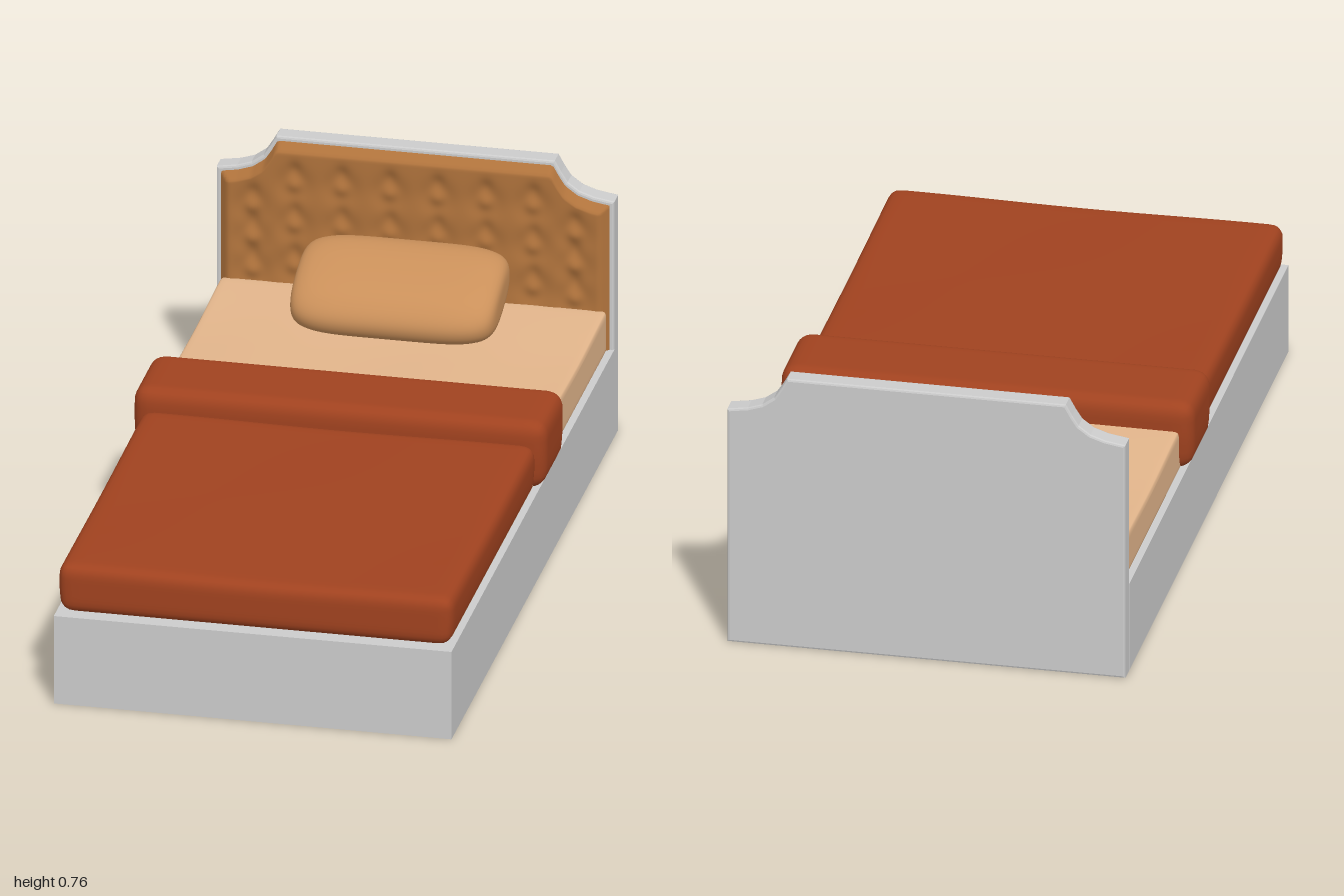
import * as THREE from 'three';
import { mergeVertices } from 'three/addons/utils/BufferGeometryUtils.js';

const { clamp, lerp } = THREE.MathUtils;
const mat = (color) => new THREE.MeshStandardMaterial({ color });
const frameMat = mat(0xcccccc);
const duvetMat = mat(0xa0421f);
const sheetMat = mat(0xe2b58b);
const pillowMat = mat(0xca905a);
const padMat = mat(0xb0733c);

function part(name, geometry, material, x = 0, y = 0, z = 0) {
  const mesh = new THREE.Mesh(geometry, material);
  mesh.name = name;
  mesh.position.set(x, y, z);
  return mesh;
}

// Weld the vertices and recompute smooth normals
function smooth(geometry) {
  geometry.deleteAttribute('uv');
  geometry.deleteAttribute('normal');
  const welded = mergeVertices(geometry, 1e-5);
  welded.computeVertexNormals();
  return welded;
}

// Apply a rule to every vertex
function reshape(geometry, rule) {
  const pos = geometry.attributes.position;
  const p = new THREE.Vector3();
  for (let i = 0; i < pos.count; i++) {
    rule(p.fromBufferAttribute(pos, i));
    pos.setXYZ(i, p.x, p.y, p.z);
  }
  return geometry;
}

// Rounded box with points crowded to its edges, plus an optional extra rule
function softBox(w, h, d, r, rule = () => {}) {
  const half = new THREE.Vector3(w, h, d).multiplyScalar(0.5);
  const inner = half.clone().subScalar(r);
  const core = new THREE.Vector3();
  const geo = new THREE.BoxGeometry(2, 2, 2, 32, 14, 32);
  return smooth(reshape(geo, (p) => {
    for (const a of ['x', 'y', 'z']) {
      p[a] = Math.sin(p[a] * Math.PI / 2) * half[a];
      core[a] = clamp(p[a], -inner[a], inner[a]);
    }
    p.sub(core).setLength(r).add(core);
    rule(p);
  }));
}

// Half of the headboard's top edge, from the middle outwards
const EDGE = [[0, 0.765], [0.37, 0.765], [0.385, 0.738], [0.403, 0.71], [0.436, 0.686], [0.475, 0.673], [0.525, 0.665]];

function edgeHeight(x) {
  const i = Math.max(1, EDGE.findIndex(([ex]) => ex >= x));
  const [x0, y0] = EDGE[i - 1], [x1, y1] = EDGE[i];
  return lerp(y0, y1, (x - x0) / (x1 - x0));
}

function headboardGeometry() {
  const b = 0.006;
  const right = EDGE.slice(1).reverse().map(([x, y]) => [x - b, y - b]);
  const left = EDGE.slice(1).map(([x, y]) => [b - x, y - b]);
  const outline = [[b - 0.525, b], [0.525 - b, b], ...right, ...left];
  const shape = new THREE.Shape(outline.map(([x, y]) => new THREE.Vector2(x, y)));
  return new THREE.ExtrudeGeometry(shape, {
    depth: 0.055 - 2 * b, bevelSize: b, bevelThickness: b, bevelSegments: 2,
  }).translate(0, 0, b);
}

// Button positions on the upholstered panel
const BUTTONS = [];
for (const s of [-1, 1]) {
  for (const x of [0.063, 0.19, 0.315]) for (const y of [0.64, 0.525, 0.41]) BUTTONS.push([s * x, y]);
  for (const y of [0.57, 0.48, 0.39]) BUTTONS.push([s * 0.425, y]);
}

// Dimple around each button, the button's swell, and a pleat above it
function tuft(x, y) {
  let h = 0;
  for (const [bx, by] of BUTTONS) {
    const dx = x - bx, dy = y - by;
    const d2 = dx * dx + dy * dy;
    h -= 0.017 * Math.exp(-d2 / 0.0016);
    h += 0.015 * Math.exp(-d2 / 0.0005);
    h -= 0.007 * Math.exp(-((dx / 0.018) ** 2) - ((dy - 0.045) / 0.022) ** 2);
  }
  return Math.max(h, -0.018);
}

function padGeometry() {
  const width = 1.03, bottom = 0.24;
  const geo = new THREE.PlaneGeometry(width, 1, 144, 90);
  return smooth(reshape(geo, (p) => {
    const ax = Math.abs(p.x);
    const top = edgeHeight(Math.min(0.525, ax + 0.007)) - 0.01;
    p.y = lerp(bottom, top, p.y + 0.5);
    const bevel = clamp(Math.min(width / 2 - ax, top - p.y) / 0.024, 0, 1);
    p.z = lerp(-0.947, -0.92 + tuft(p.x, p.y), bevel);
  }));
}

// Pillow: superellipse in plan, plump oval in section
function pillowGeometry() {
  const geo = new THREE.BoxGeometry(2, 2, 2, 32, 18, 28);
  return smooth(reshape(geo, (p) => {
    const oval = (Math.abs(p.y) ** 2.2 + Math.abs(p.z) ** 2.5) ** (1 / 2.3);
    const k = (Math.abs(p.x) ** 5 + oval ** 5) ** (-1 / 5);
    p.multiplyScalar(k);
    p.set(p.x * 0.272, p.y * 0.073, p.z * 0.168);
  }));
}

export function createModel() {
  const bed = new THREE.Group();
  bed.name = 'bed';

  // Frame
  bed.add(part('bedBase', new THREE.BoxGeometry(1.05, 0.247, 1.95), frameMat, 0, 0.1235, 0.025));
  bed.add(part('headboard', headboardGeometry(), frameMat, 0, 0, -1));
  bed.add(part('headboardPadding', padGeometry(), padMat));

  // Mattress with a gentle sag in its top
  const mattress = softBox(1.02, 0.118, 1.86, 0.012, (p) => {
    if (p.y > 0.04) p.y -= 0.008 * Math.exp(-(((p.z + 0.6) / 0.22) ** 2)) * (0.7 + 0.3 * Math.cos(p.x * 12));
  });
  bed.add(part('mattress', mattress, sheetMat, 0, 0.306, 0));

  // Duvet and its turned-back fold, drawn in slightly at the bottom
  const duvet = softBox(1.042, 0.133, 1.02, 0.034, (p) => {
    if (p.y > 0) p.y += 0.002 * Math.cos(p.x * 7) * Math.cos(p.z * 6);
    else p.x *= 1 + p.y * 0.15;
  });
  bed.add(part('duvet', duvet, duvetMat, 0, 0.313, 0.47));
  const fold = softBox(1.09, 0.192, 0.255, 0.042, (p) => {
    const t = clamp(-p.y / 0.096, 0, 1);
    p.x *= 1 - 0.016 * t * t;
    p.z *= 1 - 0.07 * t;
  });
  bed.add(part('duvetFold', fold, duvetMat, 0, 0.342, -0.148));

  // Pillow leaning on the headboard
  const pillow = part('pillow', pillowGeometry(), pillowMat, 0, 0.447, -0.762);
  pillow.rotation.x = 0.33;
  bed.add(pillow);

  return bed;
}
